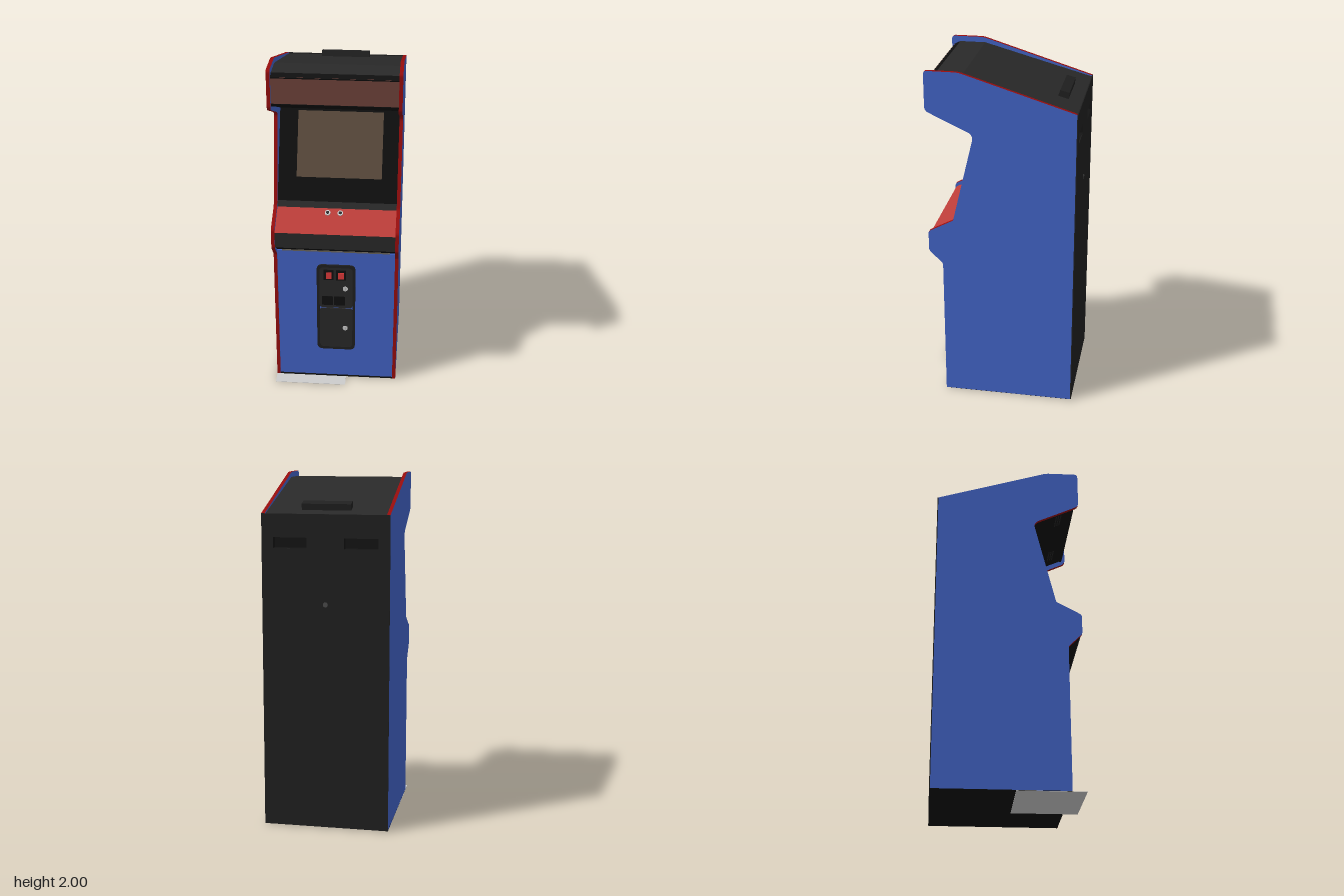
import * as THREE from 'three';

const mat = (color) => new THREE.MeshStandardMaterial({ color });
const BLUE = mat(0x4263c6), TRIM = mat(0x980d0d), RED = mat(0xbb3d39), DARK = mat(0x292929);
const BACK = mat(0x202020), BLACK = mat(0x0f0f0f), SCREEN = mat(0x5a4a3c), MARQUEE = mat(0x6e423a);
const BUTTON = mat(0xe03a3a), STEEL = mat(0x9a9a9a), GREY = mat(0xcccccc), TAN = mat(0x6b655c);

function add(parent, name, geometry, material, x = 0, y = 0, z = 0) {
  const mesh = new THREE.Mesh(geometry, material);
  mesh.name = name;
  mesh.position.set(x, y, z);
  parent.add(mesh);
  return mesh;
}
const box = (w, h, d) => new THREE.BoxGeometry(w, h, d);
// Disc facing +z
const disc = (r, d) => new THREE.CylinderGeometry(r, r, d, 20).rotateX(Math.PI / 2);

// Polygon in which each corner [x, y, radius] may be rounded
function roundedShape(points) {
  const shape = new THREE.Shape();
  points.forEach(([x, y, r = 0], i) => {
    const p = new THREE.Vector2(x, y);
    const toward = (q) => new THREE.Vector2(q[0], q[1]).sub(p).setLength(r).add(p);
    const a = toward(points.at(i - 1)), b = toward(points[(i + 1) % points.length]);
    if (i === 0) shape.moveTo(a.x, a.y); else shape.lineTo(a.x, a.y);
    if (r) shape.quadraticCurveTo(x, y, b.x, b.y);
  });
  shape.closePath();
  return shape;
}
const rect = (x0, y0, x1, y1, r = 0) =>
  roundedShape([[x0, y0, r], [x1, y0, r], [x1, y1, r], [x0, y1, r]]);
const extrude = (shape, depth) =>
  new THREE.ExtrudeGeometry(shape, { depth, bevelEnabled: false, curveSegments: 6 });

// Cross panel between two profile points [z, y]; local y runs a to b, local z points outward
function panel(parent, name, a, b, material, t = 0.012) {
  const dz = b[0] - a[0], dy = b[1] - a[1];
  const group = new THREE.Group();
  group.name = name;
  group.position.set(0, (a[1] + b[1]) / 2, (a[0] + b[0]) / 2);
  group.rotation.x = Math.atan2(dz, dy);
  add(group, name + 'Board', box(0.68, Math.hypot(dz, dy), t), material, 0, 0, -t / 2);
  parent.add(group);
  return group;
}

export function createModel() {
  const model = new THREE.Group();
  model.name = 'arcadeCabinet';

  // Side boards with red edge trim
  const profile = roundedShape([
    [-0.415, 0.004], [0.34, 0.004], [0.34, 0.85, 0.01], [0.42, 0.93, 0.012], [0.42, 1.05, 0.015],
    [0.275, 1.128, 0.01], [0.15, 1.65, 0.035], [0.42, 1.775, 0.025], [0.42, 2, 0.02],
    [0.23, 2, 0.02], [-0.415, 1.802],
  ]);
  for (const [name, x] of [['leftSide', 0.36], ['rightSide', -0.34]]) {
    add(model, name, extrude(profile, 0.02).rotateY(-Math.PI / 2), [BLUE, TRIM], x);
  }

  // Lower front and control deck
  panel(model, 'frontPanel', [0.333, 0.004], [0.333, 0.87], BLUE);
  add(model, 'frontLedge', box(0.62, 0.008, 0.012), TAN, 0, 0.874, 0.33);
  panel(model, 'deckUnderside', [0.325, 0.872], [0.413, 0.935], BLACK);
  panel(model, 'deckFront', [0.415, 0.933], [0.415, 1.028], DARK);
  const deck = panel(model, 'controlPanel', [0.415, 1.028], [0.265, 1.117], RED);
  for (const x of [-0.05, 0.022]) {
    add(deck, 'startButtonRing', disc(0.016, 0.008), GREY, x, 0.055, 0.003);
    add(deck, 'startButton', disc(0.009, 0.014), DARK, x, 0.055, 0.003);
  }
  panel(model, 'deckBackStrip', [0.265, 1.117], [0.245, 1.15], DARK);

  // Screen surround, screen and canopy
  const bezel = panel(model, 'screenBezel', [0.248, 1.15], [0.03, 1.64], BLACK);
  add(bezel, 'screen', box(0.485, 0.378, 0.004), SCREEN, 0.007, 0.058, 0.001);
  const canopy = panel(model, 'canopyUnderside', [0.02, 1.625], [0.395, 1.795], BLACK);
  for (const x of [-0.215, 0.215]) {
    for (const y of [0.10, 0.115, 0.13]) {
      add(canopy, 'speakerSlot', box(0.11, 0.006, 0.003), BACK, x, y, 0.001);
    }
  }
  panel(model, 'marqueeLowerTrim', [0.395, 1.785], [0.402, 1.803], BLACK);
  panel(model, 'marquee', [0.4, 1.8], [0.4, 1.955], MARQUEE);
  panel(model, 'marqueeUpperTrim', [0.403, 1.953], [0.37, 1.969], BLACK);

  // Roof with its grip
  panel(model, 'roofFront', [0.37, 1.969], [0.22, 1.969], DARK);
  const roof = panel(model, 'roof', [0.22, 1.969], [-0.415, 1.795], DARK);
  const grip = roundedShape([[-0.03, 0], [0.03, 0], [0.028, 0.035], [-0.025, 0.035]]);
  const gripGeometry = extrude(grip, 0.278).rotateY(-Math.PI / 2).rotateX(Math.PI / 2);
  add(roof, 'roofGrip', gripGeometry, BACK, 0.148, 0.222, 0);

  // Back board with two hand holds and a lock
  const back = rect(-0.36, 0.004, 0.36, 1.8);
  for (const x of [-0.2, 0.2]) {
    back.holes.push(rect(x - 0.095, 1.61, x + 0.095, 1.67));
    const pocket = box(0.19, 0.06, 0.05);
    const material = mat(0x141414);
    material.side = THREE.BackSide;
    // Drop the outer end so the pocket stays open
    pocket.setIndex(Array.from(pocket.index.array).slice(0, 30));
    add(model, 'handHold', pocket, material, x, 1.64, -0.395);
  }
  add(model, 'backBoard', extrude(back, 0.005), BACK, 0, 0, -0.42);
  add(model, 'backLock', disc(0.014, 0.004), mat(0x4a4a4a), 0, 1.3, -0.42);

  // Base and floor plate
  add(model, 'base', box(0.72, 0.008, 0.755), BLACK, 0, 0.007, -0.04);
  add(model, 'floorPlate', box(0.42, 0.002, 0.38), GREY, -0.15, 0.001, 0.23);

  // Coin door
  const door = new THREE.Group();
  door.name = 'coinDoor';
  door.position.z = 0.332;
  model.add(door);
  const frame = rect(-0.112, 0.205, 0.113, 0.787, 0.035);
  frame.holes.push(rect(-0.096, 0.222, 0.097, 0.77, 0.025));
  add(door, 'doorFrame', extrude(frame, 0.011), BACK);
  add(door, 'upperDoor', extrude(rect(-0.096, 0.497, 0.097, 0.77, 0.02), 0.008), DARK);
  add(door, 'lowerDoor', extrude(rect(-0.096, 0.222, 0.097, 0.491, 0.02), 0.008), DARK);
  for (const x of [-0.043, 0.029]) {
    add(door, 'coinSlotHousing', box(0.058, 0.065, 0.014), BLACK, x, 0.722, 0.008);
    add(door, 'coinButton', box(0.034, 0.042, 0.018), BUTTON, x + 0.002, 0.72, 0.01);
  }
  for (const x of [-0.049, 0.021]) {
    add(door, 'coinReturn', box(0.064, 0.06, 0.004), BLACK, x, 0.545, 0.008);
  }
  for (const y of [0.63, 0.357]) {
    add(door, 'doorLock', disc(0.015, 0.008), GREY, 0.055, y, 0.008);
    add(door, 'keyhole', box(0.004, 0.014, 0.002), STEEL, 0.055, y, 0.012);
  }
  return model;
}
